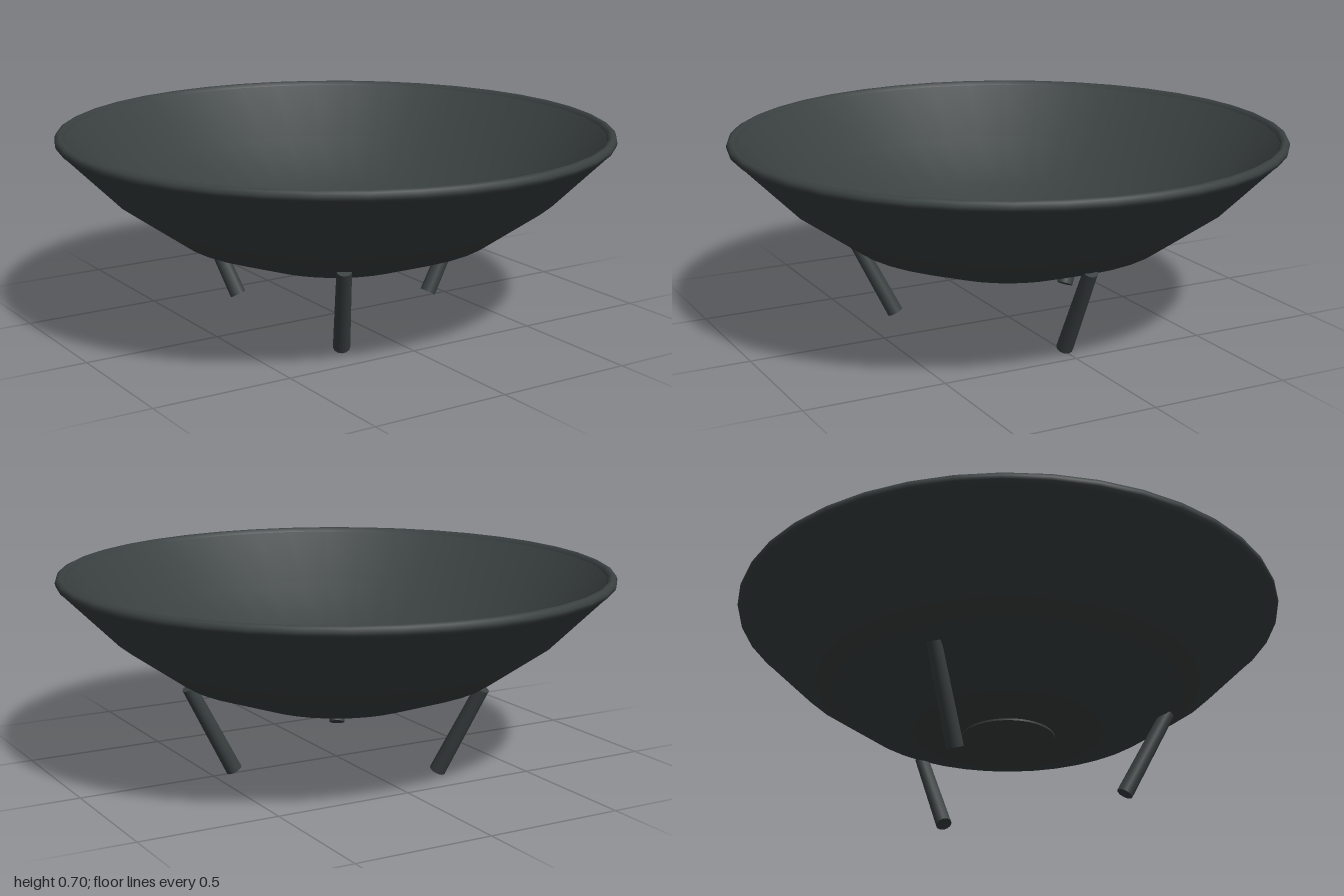
import * as THREE from 'three';

const SEGMENTS = 40;

export function createModel() {
  const group = new THREE.Group();
  group.name = 'fireBowl';

  const iron = new THREE.MeshStandardMaterial({ color: 0x3a4040 });
  iron.name = 'dark iron';

  const add = (name, geometry) => {
    const mesh = new THREE.Mesh(geometry, iron);
    mesh.name = name;
    group.add(mesh);
    return mesh;
  };
  const lathe = (points) =>
    new THREE.LatheGeometry(points.map(([r, y]) => new THREE.Vector2(r, y)), SEGMENTS);

  // Outer shell, from the flat underside up to the rim
  add('bowlOutside', lathe([
    [0.17, 0.217], [0.33, 0.235], [0.58, 0.325], [0.8, 0.48], [0.985, 0.665],
  ]));

  // Inner shell, from the rim down to the centre
  add('bowlInside', lathe([
    [0.965, 0.69], [0.785, 0.51], [0.565, 0.353], [0.32, 0.262], [0.17, 0.242], [0, 0.237],
  ]));

  // Rounded rolled edge
  add('rim', lathe([
    [0.985, 0.665], [0.997, 0.675], [1, 0.687], [0.995, 0.699],
    [0.983, 0.705], [0.972, 0.702], [0.965, 0.69],
  ]));

  // Shallow disc under the bowl
  const base = add('baseDisc', new THREE.CylinderGeometry(0.17, 0.17, 0.016, SEGMENTS));
  base.position.y = 0.218;

  // Three legs slanting inward toward the ground
  const up = new THREE.Vector3(0, 1, 0);
  for (let i = 0; i < 3; i++) {
    const angle = (i * Math.PI * 2) / 3;
    const at = (r, y) => new THREE.Vector3(Math.cos(angle) * r, y, Math.sin(angle) * r);
    const foot = at(0.42, 0.014);
    const top = at(0.588, 0.336);
    const axis = top.clone().sub(foot);
    const leg = add('leg' + (i + 1), new THREE.CylinderGeometry(0.026, 0.03, axis.length(), 12));
    leg.position.copy(foot).addScaledVector(axis, 0.5);
    leg.quaternion.setFromUnitVectors(up, axis.normalize());
  }
  return group;
}
